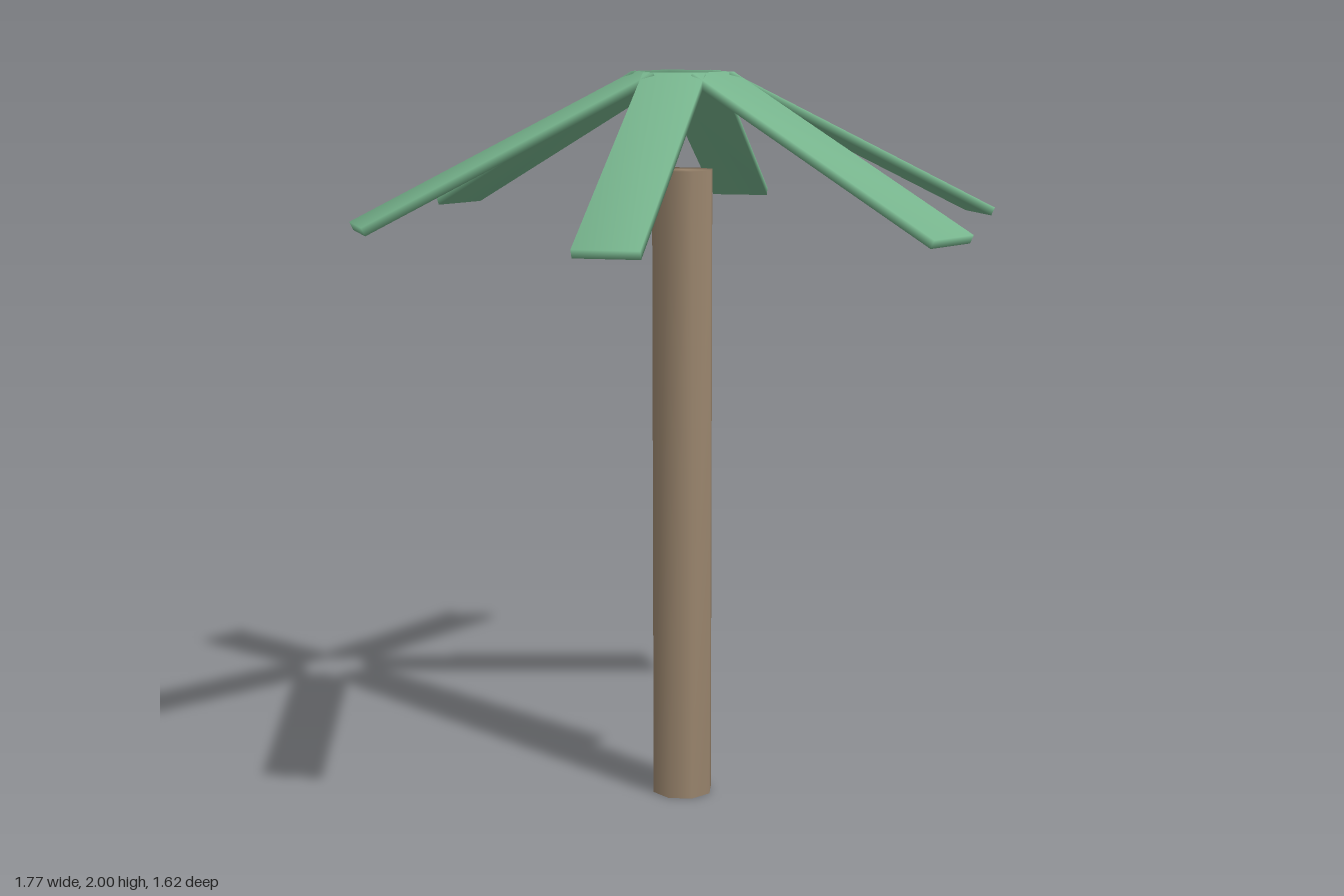
import * as THREE from 'three';
import { mergeVertices } from 'three/addons/utils/BufferGeometryUtils.js';

// Share corners between faces so the shading rolls softly over every edge
function soften(geometry) {
  geometry.deleteAttribute('normal');
  geometry.deleteAttribute('uv');
  const soft = mergeVertices(geometry, 1e-4);
  soft.computeVertexNormals();
  return soft;
}

export function createModel() {
  const bark = new THREE.MeshStandardMaterial({ name: 'bark brown', color: 0x9b866e });
  const green = new THREE.MeshStandardMaterial({ name: 'leaf green', color: 0x76b38c });

  const tree = new THREE.Group();
  tree.name = 'palmTree';

  // Eight-sided trunk
  const trunkHeight = 1.74;
  const trunk = new THREE.Mesh(
    soften(new THREE.CylinderGeometry(0.085, 0.085, trunkHeight, 8)), bark);
  trunk.name = 'trunk';
  trunk.position.y = trunkHeight / 2;
  tree.add(trunk);

  // Ring of six drooping plank leaves around an open centre
  const leafGeometry = soften(new THREE.BoxGeometry(0.865, 0.024, 0.166));
  leafGeometry.rotateZ(-Math.atan2(0.38, 0.777));
  leafGeometry.translate(0.491, 1.799, 0);

  const crown = new THREE.Group();
  crown.name = 'crown';
  for (let i = 0; i < 6; i++) {
    const leaf = new THREE.Mesh(leafGeometry, green);
    leaf.name = `leaf${i + 1}`;
    leaf.rotation.y = i * Math.PI / 3;
    crown.add(leaf);
  }
  tree.add(crown);

  return tree;
}
